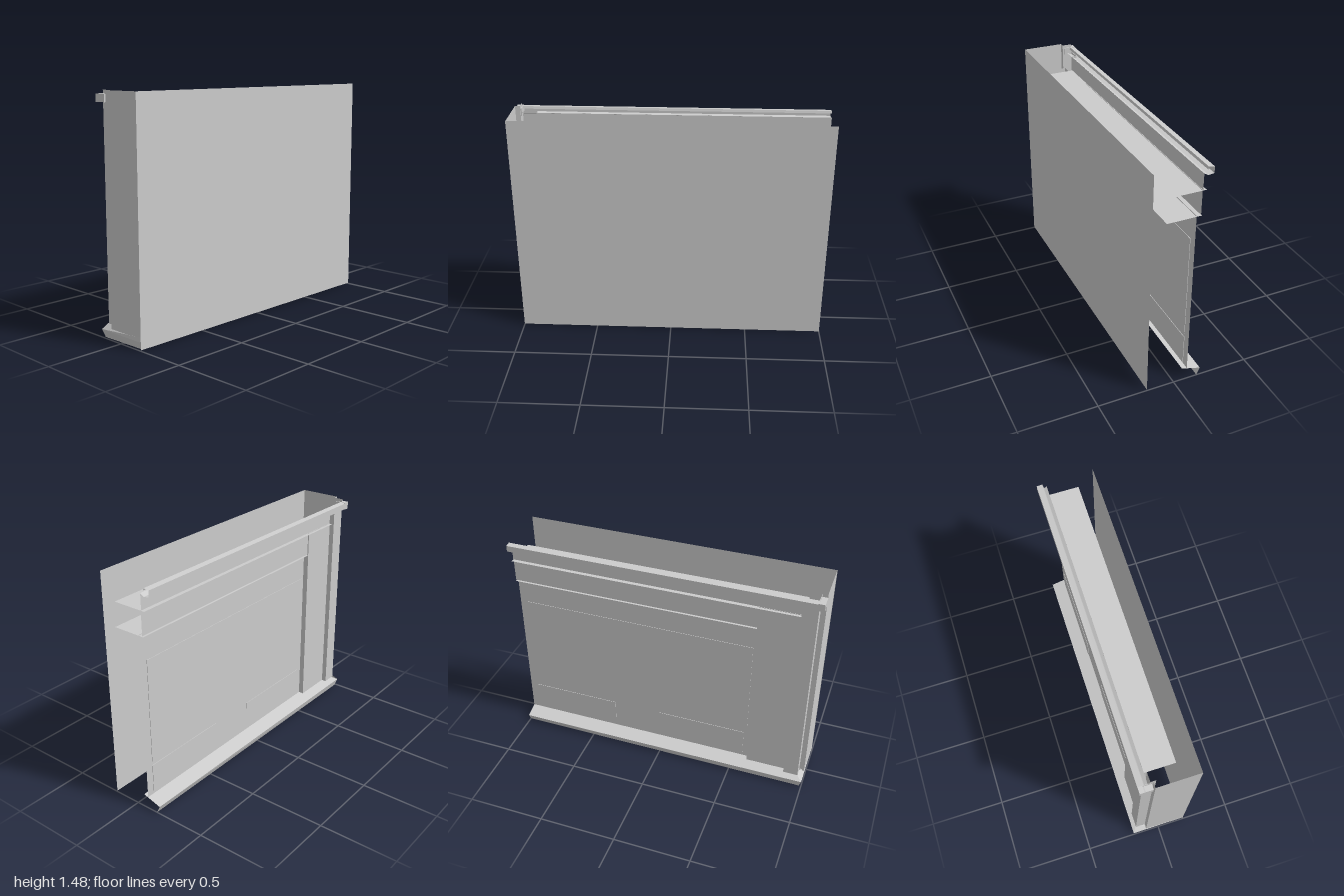
import * as THREE from 'three';

const material = new THREE.MeshStandardMaterial({ color: 0xcccccc, flatShading: true, side: THREE.DoubleSide });

export function createModel() {
  const model = new THREE.Group();

  const add = (name, geometry) => {
    const mesh = new THREE.Mesh(geometry, material);
    mesh.name = name;
    model.add(mesh);
    return mesh;
  };

  // Sheet stretched between two polylines with the same number of points
  const sheet = (name, a, b) => {
    const pos = [];
    for (let i = 0; i < a.length - 1; i++) {
      pos.push(...a[i], ...b[i], ...b[i + 1], ...a[i], ...b[i + 1], ...a[i + 1]);
    }
    const geometry = new THREE.BufferGeometry();
    geometry.setAttribute('position', new THREE.Float32BufferAttribute(pos, 3));
    geometry.computeVertexNormals();
    return add(name, geometry);
  };

  // Upright wall following a floor plan of [x, z] points
  const wall = (name, plan, y0, y1) =>
    sheet(name, plan.map(([x, z]) => [x, y0, z]), plan.map(([x, z]) => [x, y1, z]));

  // Level slab without thickness
  const shelf = (name, x0, x1, z0, z1, y) =>
    sheet(name, [[x0, y, z0], [x1, y, z0]], [[x0, y, z1], [x1, y, z1]]);

  // Plain large side and the front wall
  wall('sidePanel', [[0.18, -1], [0.18, 1]], 0.005, 1.475);
  wall('frontWall', [[-0.154, 0.966], [-0.09, 0.966], [-0.09, 0.998], [0.18, 0.998]], 0.07, 1.475);

  // Facade in three tiers, stepping out towards the corner
  const corner = [[-0.154, 0.87], [-0.154, 0.966]];
  wall('lowerFacade', [[-0.088, -1], [-0.088, 0.61], [-0.122, 0.61], [-0.122, 0.87], ...corner], 0.08, 1.165);
  wall('middleFacade', [[-0.115, -1], [-0.115, 0.61], [-0.122, 0.61], [-0.122, 0.87], ...corner], 1.165, 1.32);
  wall('upperFacade', [[-0.118, -1], [-0.12, 0.87], ...corner], 1.32, 1.42);

  // Inner ledges
  shelf('lowerLedge', -0.122, 0.093, -1, 0.62, 1.16);
  shelf('upperLedge', -0.14, 0.083, -1, 0.87, 1.317);

  // Shallow facade panels: [z0, z1, y0, y1]
  const panels = [[-0.95, 0.59, 0.31, 0.99], [-0.95, -0.35, 0.085, 0.285], [-0.03, 0.57, 0.085, 0.285]];
  for (const [z0, z1, y0, y1] of panels) {
    const panel = add('facadePanel', new THREE.BoxGeometry(0.006, y1 - y0, z1 - z0));
    panel.position.set(-0.088, (y0 + y1) / 2, (z0 + z1) / 2);
  }

  // Cornice channel along the top of the facade
  const cornice = [[-0.118, 1.42], [-0.145, 1.405], [-0.18, 1.41], [-0.18, 1.45], [-0.145, 1.455], [-0.14, 1.44]];
  sheet('cornice', cornice.map(([x, y]) => [x, y, -1]), cornice.map(([x, y]) => [x, y, 1]));
  const cap = add('corniceReturn', new THREE.BoxGeometry(0.08, 0.048, 0.04));
  cap.position.set(-0.14, 1.43, 0.98);

  // Sloped skirting along the facade, mitred round to the front
  const back = [[-0.055, 0.087, -1], [-0.18, 0.05, -1], [-0.158, 0.002, -1]];
  const mitre = [[-0.055, 0.087, 0.92], [-0.18, 0.05, 1], [-0.165, 0, 0.985]];
  const end = [[0.18, 0.08, 0.92], [0.18, 0.05, 1], [0.18, 0.008, 0.99]];
  sheet('sideSkirting', back, mitre);
  sheet('frontSkirting', mitre, end);

  // Raised lip above the front skirting
  sheet('skirtingLip', [[-0.18, 0.05, 1], [-0.16, 0.085, 0.968]], [[0.18, 0.05, 1], [0.18, 0.08, 0.998]]);

  // Inner pier behind the front corner
  wall('innerPier', [[-0.122, 0.87], [-0.09, 0.87], [-0.09, 0.93], [-0.055, 0.93]], 0.08, 1.32);

  return model;
}
